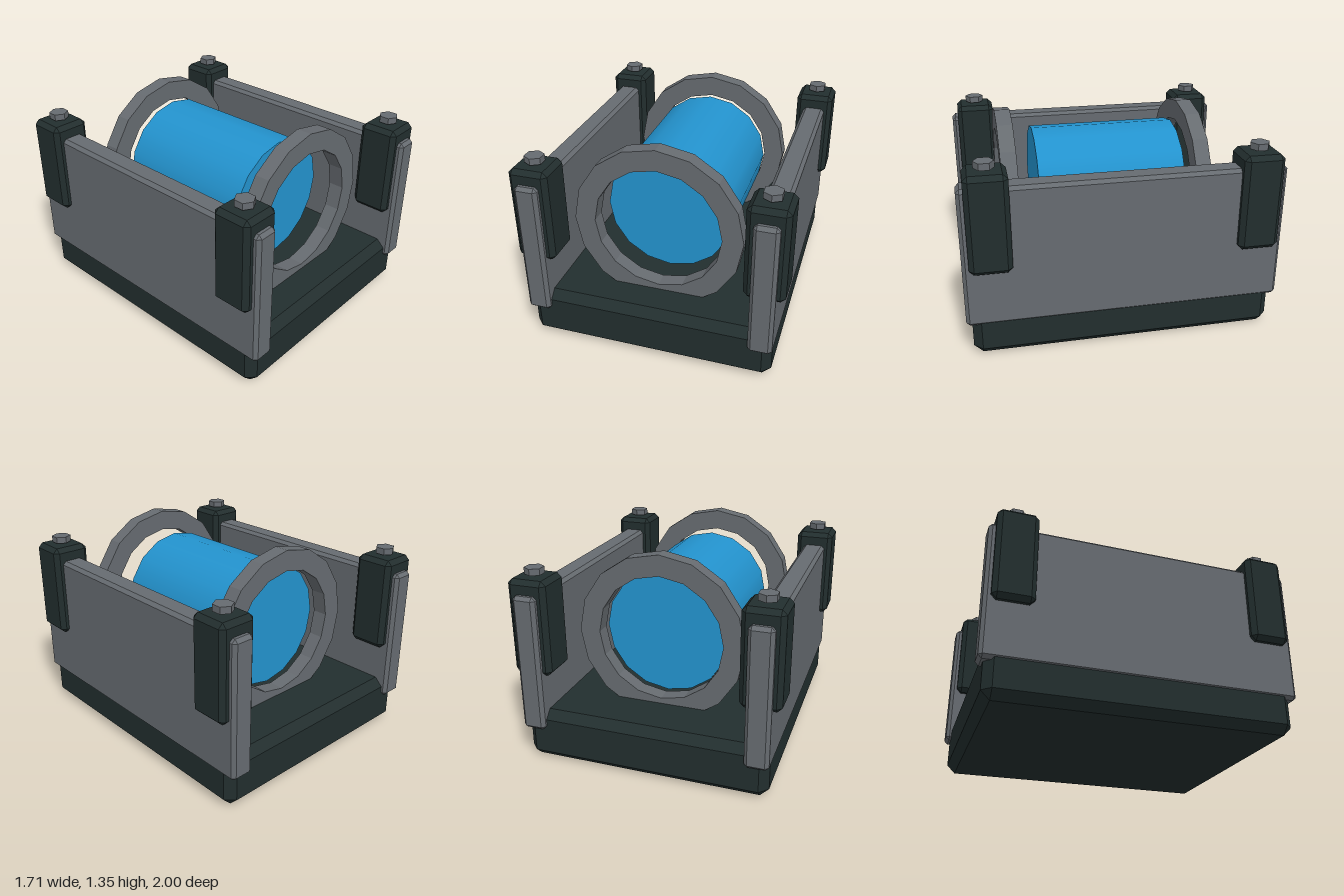
import * as THREE from 'three';
import { ConvexGeometry } from 'three/addons/geometries/ConvexGeometry.js';

const material = (name, color) => Object.assign(new THREE.MeshStandardMaterial({ color }), { name });

// Box with every edge chamfered by c
function chamferBox(w, h, d, c) {
  const points = [];
  for (const sx of [-1, 1]) for (const sy of [-1, 1]) for (const sz of [-1, 1]) {
    const x = w / 2, y = h / 2, z = d / 2;
    points.push(
      new THREE.Vector3(sx * x, sy * (y - c), sz * (z - c)),
      new THREE.Vector3(sx * (x - c), sy * y, sz * (z - c)),
      new THREE.Vector3(sx * (x - c), sy * (y - c), sz * z));
  }
  return new ConvexGeometry(points);
}

// Regular polygon with a corner at the top
function polygon(radius, sides) {
  return Array.from({ length: sides }, (_, i) => {
    const a = Math.PI / 2 + (i / sides) * Math.PI * 2;
    return new THREE.Vector2(Math.cos(a) * radius, Math.sin(a) * radius);
  });
}

export function createModel() {
  const dark = material('dark casing', 0x222e2e);
  const grey = material('grey metal', 0x666b70);
  const blue = material('blue core', 0x2393ce);

  const model = new THREE.Group();
  model.name = 'coreCradle';
  const add = (name, geometry, mat, x, y, z) => {
    const mesh = new THREE.Mesh(geometry, mat);
    mesh.name = name;
    mesh.position.set(x, y, z);
    model.add(mesh);
    return mesh;
  };

  // Base slab
  add('base', chamferBox(1.59, 0.345, 1.93, 0.055), dark, 0, 0.1725, 0);

  // Central drum, lying along z
  const drum = new THREE.CylinderGeometry(0.414, 0.414, 0.965, 16);
  drum.rotateX(Math.PI / 2);
  add('drum', drum, blue, 0, 0.796, 0);

  // Open support rings beyond each end of the drum
  const ringShape = new THREE.Shape(polygon(0.55, 16));
  ringShape.holes.push(new THREE.Path(polygon(0.414, 16).reverse()));
  const ring = new THREE.ExtrudeGeometry(ringShape, { depth: 0.102, bevelEnabled: false });
  add('frontRing', ring, grey, 0, 0.796, 0.619);
  add('backRing', ring, grey, 0, 0.796, -0.619);

  // Side walls, corner posts and the hex bolts above them
  const wall = chamferBox(0.152, 0.895, 2, 0.022);
  const post = chamferBox(0.254, 0.62, 0.258, 0.03);
  const bolt = new THREE.CylinderGeometry(0.062, 0.062, 0.042, 6).toNonIndexed();
  bolt.computeVertexNormals();
  for (const [side, sx] of [['left', 1], ['right', -1]]) {
    add(side + 'Wall', wall, grey, sx * 0.726, 0.6725, 0);
    for (const [end, sz] of [['Front', 1], ['Back', -1]]) {
      add(side + end + 'Post', post, dark, sx * 0.726, 0.9, sz * 0.83);
      add(side + end + 'Bolt', bolt, grey, sx * 0.726, 1.243, sz * 0.83);
    }
  }
  return model;
}
